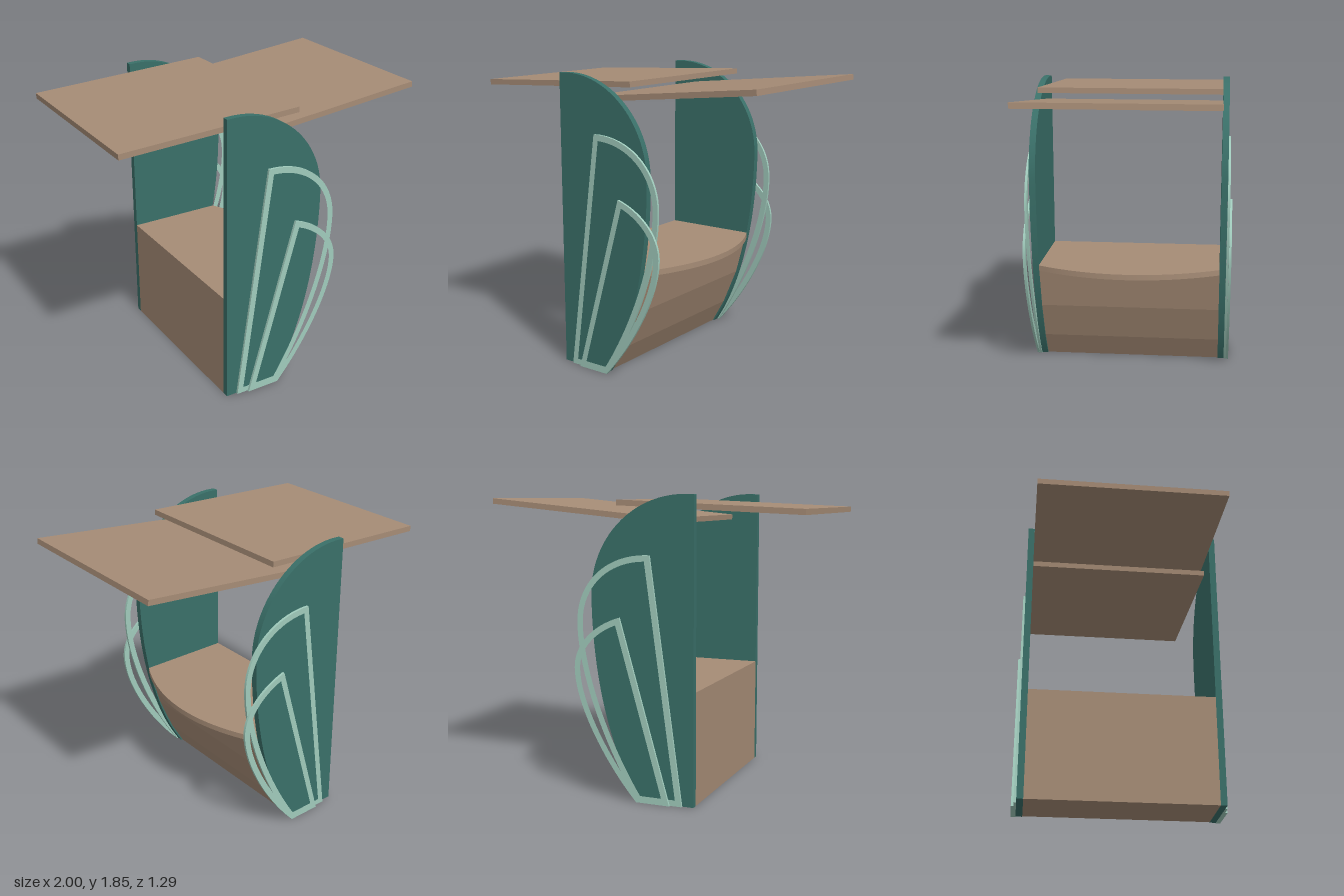
import * as THREE from 'three';
import { toCreasedNormals } from 'three/addons/utils/BufferGeometryUtils.js';

const HALF = 0.575; // half the width between the side panels

// Outline with straight left and bottom edges; each curve is [c1x, c1y, c2x, c2y, x, y]
function outline(start, corners, curves) {
  const s = new THREE.Shape();
  s.moveTo(...start);
  corners.forEach((p) => s.lineTo(...p));
  curves.forEach((c) => s.bezierCurveTo(...c));
  s.closePath();
  return s;
}

// Inner outline at a constant distance inside a clockwise one
function inset(points, d) {
  const n = points.length;
  const normal = (a, b) => new THREE.Vector2(b.y - a.y, a.x - b.x).normalize();
  return points.map((p, i) => {
    const n1 = normal(points[(i + n - 1) % n], p);
    const n2 = normal(p, points[(i + 1) % n]);
    const k = d / (1 + n1.dot(n2));
    return new THREE.Vector2(p.x + (n1.x + n2.x) * k, p.y + (n1.y + n2.y) * k);
  });
}

// Flat ring of constant width following an outline
function ring(shape, width) {
  const pts = shape.getPoints(20).filter((p, i, a) => i === 0 || p.distanceTo(a[i - 1]) > 1e-4);
  if (pts[0].distanceTo(pts[pts.length - 1]) < 1e-4) pts.pop();
  const result = new THREE.Shape(pts);
  result.holes.push(new THREE.Path(inset(pts, width)));
  return result;
}

function extrude(shape, depth, smooth = true) {
  const g = new THREE.ExtrudeGeometry(shape, { depth, bevelEnabled: false, curveSegments: 24 });
  return smooth ? toCreasedNormals(g, 0.4) : g;
}

export function createModel() {
  const group = new THREE.Group();
  const wood = new THREE.MeshStandardMaterial({ name: 'wood brown', color: 0xa68c76 });
  const green = new THREE.MeshStandardMaterial({ name: 'deep green', color: 0x3a7069 });
  const mint = new THREE.MeshStandardMaterial({ name: 'pale mint', color: 0xa0cbbc });

  function add(name, geometry, material, x = 0, y = 0, z = 0) {
    const mesh = new THREE.Mesh(geometry, material);
    mesh.name = name;
    mesh.position.set(x, y, z);
    group.add(mesh);
    return mesh;
  }

  // Leaf-shaped side panels and the two raised outlines on each
  const panel = outline([-0.36, 0], [[-0.36, 1.843], [-0.3, 1.845]], [
    [0.03, 1.845, 0.3, 1.58, 0.3, 1.25],
    [0.3, 0.85, 0.22, 0.35, -0.01, 0],
  ]);
  const tall = outline([-0.29, 0], [[-0.085, 1.492]], [
    [0.18, 1.5, 0.39, 1.33, 0.39, 1.08],
    [0.39, 0.75, 0.2, 0.3, 0, 0],
  ]);
  const short = outline([-0.215, 0], [[0.105, 1.12]], [
    [0.27, 1.07, 0.405, 0.95, 0.405, 0.8],
    [0.405, 0.57, 0.2, 0.22, 0, 0],
  ]);
  const layers = [
    ['sidePanel', panel, green, HALF, 0.04],
    ['tallOutline', ring(tall, 0.037), mint, 0.615, 0.015],
    ['shortOutline', ring(short, 0.037), mint, 0.63, 0.015],
  ];
  for (const [name, shape, material, z, depth] of layers) {
    const geometry = extrude(shape, depth);
    add(name + 'Front', geometry, material, 0, 0, z);
    add(name + 'Back', geometry, material, 0, 0, -z - depth);
  }

  // Counter body with a faceted, outward-leaning face
  const body = new THREE.Shape([
    [-0.36, 0], [-0.02, 0], [0.07, 0.16], [0.17, 0.4], [0.238, 0.657], [-0.36, 0.657],
  ].map((p) => new THREE.Vector2(...p)));
  add('counterBody', extrude(body, HALF * 2, false), wood, 0, 0, -HALF);

  // Counter top with a bowed edge
  const top = new THREE.Shape();
  top.moveTo(-0.36, -HALF);
  top.lineTo(0.25, -HALF);
  top.quadraticCurveTo(0.56, 0, 0.25, HALF);
  top.lineTo(-0.36, HALF);
  top.closePath();
  add('counterTop', extrude(top, 0.035).rotateX(-Math.PI / 2), wood, 0, 0.657, 0);

  // Two overlapping, tilted roof boards: [name, x0, y0, x1, y1] along the centre line
  for (const [name, x0, y0, x1, y1] of [
    ['upperRoofBoard', -1, 1.747, 0.15, 1.796],
    ['lowerRoofBoard', -0.18, 1.69, 1, 1.802],
  ]) {
    const board = new THREE.BoxGeometry(Math.hypot(x1 - x0, y1 - y0), 0.034, HALF * 2);
    add(name, board, wood, (x0 + x1) / 2, (y0 + y1) / 2, 0).rotation.z = Math.atan2(y1 - y0, x1 - x0);
  }
  return group;
}
